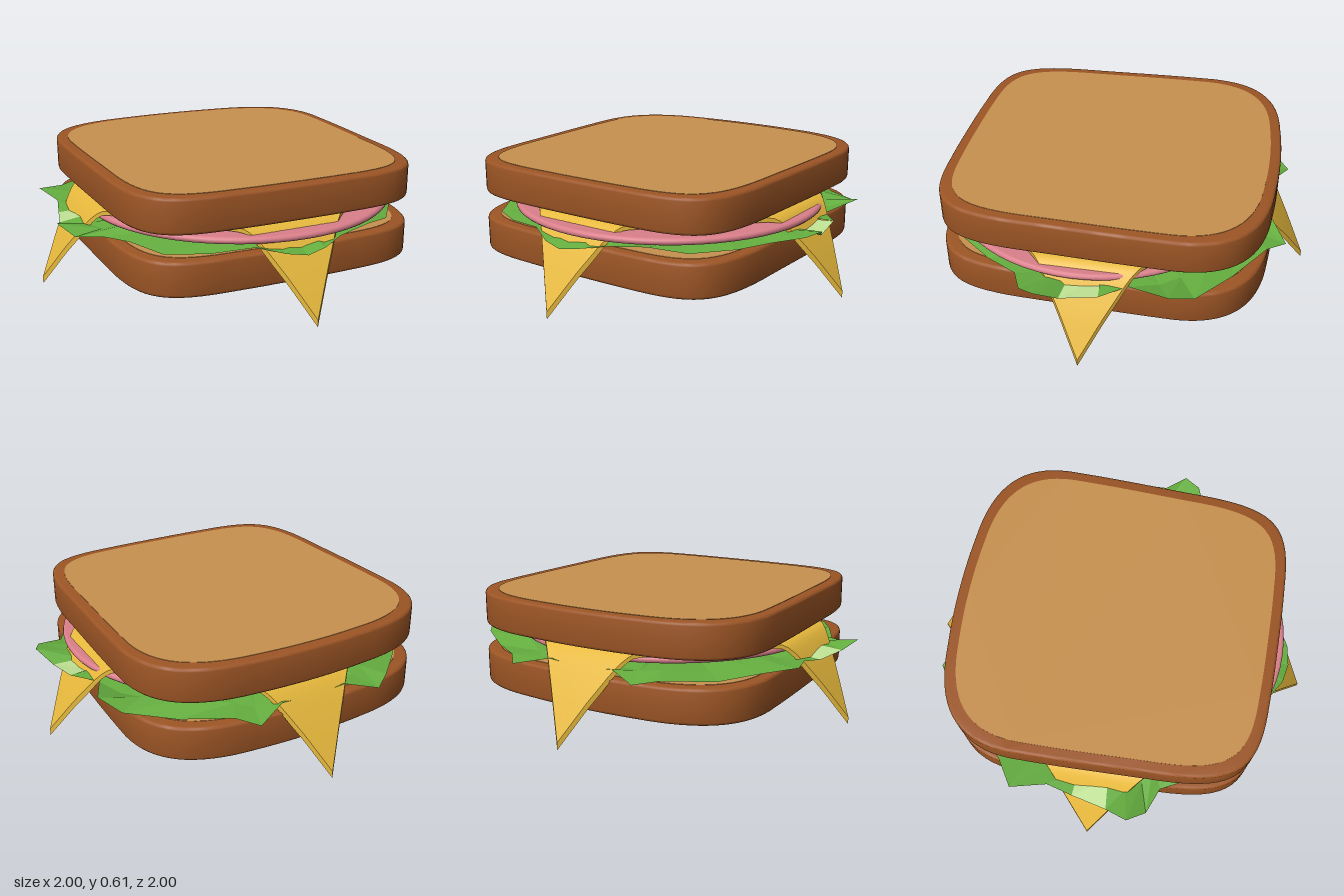
import * as THREE from 'three';
import { toCreasedNormals } from 'three/addons/utils/BufferGeometryUtils.js';

const mat = (name, color, side = THREE.FrontSide) => {
  const m = new THREE.MeshStandardMaterial({ color, side });
  m.name = name;
  return m;
};

function part(name, geometry, material) {
  const mesh = new THREE.Mesh(geometry, material);
  mesh.name = name;
  return mesh;
}

// Loaf outline: a mirrored half with a slight waist; k shrinks it for the crumb
function loafShape(kx = 1, ky = 1) {
  const half = [
    [0, -0.8], [0.1, -0.8], [0.2, -0.8], [0.3, -0.795],
    [0.64, -0.79], [0.74, -0.72], [0.755, -0.33],
    [0.76, -0.1], [0.775, 0.1], [0.775, 0.42],
    [0.765, 0.67], [0.62, 0.8], [0.3, 0.82],
    [0.2, 0.83], [0.1, 0.835], [0, 0.835],
  ];
  const mirrored = half.slice(0, -1).reverse().map(([x, y]) => [-x, y]);
  const p = [...half, ...mirrored].map(([x, y]) => [x * kx, 0.018 + (y - 0.018) * ky]);
  const shape = new THREE.Shape();
  shape.moveTo(...p[0]);
  for (let i = 1; i < p.length; i += 3) shape.bezierCurveTo(...p[i], ...p[i + 1], ...p[i + 2]);
  return shape;
}

// Bread slice: bevelled crust with the crumb showing on both faces
function breadSlice(name, y, crust, crumb) {
  const h = 0.17, b = 0.015;
  const shell = new THREE.ExtrudeGeometry(loafShape(), {
    depth: h - 2 * b, bevelThickness: b, bevelSize: b, bevelOffset: -b, bevelSegments: 3, curveSegments: 16,
  });
  shell.translate(0, 0, b).rotateX(-Math.PI / 2);
  const core = new THREE.ExtrudeGeometry(loafShape(0.93, 0.933), {
    depth: h + 0.004, bevelEnabled: false, curveSegments: 16,
  });
  core.translate(0, 0, -0.002).rotateX(-Math.PI / 2);
  const slice = new THREE.Group();
  slice.name = name;
  slice.position.y = y;
  slice.add(part('crust', toCreasedNormals(shell, 0.6), crust), part('crumb', core, crumb));
  return slice;
}

// Cheese: a square turned 45 degrees, its four corners draped over the edges
function cheeseGeometry() {
  const profile = [[0, 0.425], [0.745, 0.425], [0.78, 0.4], [0.82, 0.345], [0.9, 0.215], [1, 0.035]];
  const g = new THREE.BoxGeometry(Math.SQRT2, 1, Math.SQRT2, 48, 1, 48).rotateY(Math.PI / 4);
  const pos = g.attributes.position;
  for (let i = 0; i < pos.count; i++) {
    const d = Math.min(1, Math.max(Math.abs(pos.getX(i)), Math.abs(pos.getZ(i))));
    let k = 1;
    while (k < profile.length - 1 && d > profile[k][0]) k++;
    const top = THREE.MathUtils.mapLinear(d, ...[profile[k - 1][0], profile[k][0]], profile[k - 1][1], profile[k][1]);
    const thick = 0.02 + 0.015 * THREE.MathUtils.smoothstep(d, 0.75, 0.85);
    pos.setY(i, pos.getY(i) > 0 ? top : top - thick);
  }
  return toCreasedNormals(g, 0.6);
}

// Lettuce: faceted ruffled leaf, rings from centre to rim, with a pale rib across
function lettuceLeaf(green, pale) {
  // rim points x, z, y
  const rim = [
    [0.9, -0.08, 0.35], [0.92, 0.1, 0.33], [0.97, 0.2, 0.385], [0.93, 0.28, 0.37], [0.79, 0.34, 0.335],
    [0.7, 0.5, 0.33], [0.56, 0.68, 0.335], [0.4, 0.77, 0.36], [0.22, 0.81, 0.34], [0.1, 0.88, 0.325],
    [0, 0.9, 0.31], [-0.1, 0.88, 0.325], [-0.22, 0.81, 0.35], [-0.42, 0.76, 0.335], [-0.6, 0.66, 0.325],
    [-0.7, 0.48, 0.34], [-0.77, 0.34, 0.325], [-0.9, 0.29, 0.33], [-0.96, 0.2, 0.375], [-0.92, 0.09, 0.34],
    [-0.88, -0.09, 0.33], [-0.85, -0.22, 0.35], [-0.9, -0.4, 0.37], [-0.76, -0.49, 0.345], [-0.62, -0.64, 0.325],
    [-0.43, -0.82, 0.345], [-0.33, -0.89, 0.33], [-0.18, -0.82, 0.36], [0, -0.8, 0.335], [0.17, -0.82, 0.36],
    [0.33, -0.9, 0.33], [0.41, -0.81, 0.345], [0.62, -0.66, 0.325], [0.82, -0.51, 0.34], [0.89, -0.4, 0.385],
    [0.8, -0.2, 0.345],
  ];
  const rings = [0, 0.45, 0.84, 1];
  const at = (i, r) => {
    const [x, z, y] = rim[i % rim.length];
    const inner = r === 0 ? 0.345 : 0.345 + 0.012 * Math.sin(i * 1.9 + r * 4);
    return [x * r, r === 1 ? y : inner, z * r];
  };
  const tris = { green: [], pale: [] };
  rim.forEach((p, i) => {
    const next = rim[(i + 1) % rim.length];
    const out = Math.abs(p[1]) <= 0.1 && Math.abs(next[1]) <= 0.1 ? tris.pale : tris.green;
    for (let k = 1; k < rings.length; k++) {
      const a = at(i, rings[k - 1]), b = at(i + 1, rings[k - 1]);
      const c = at(i, rings[k]), d = at(i + 1, rings[k]);
      out.push(...a, ...d, ...c);
      if (k > 1) out.push(...a, ...b, ...d);
    }
  });
  const build = (list) => {
    const g = new THREE.BufferGeometry();
    g.setAttribute('position', new THREE.Float32BufferAttribute(list, 3));
    g.computeVertexNormals();
    return g;
  };
  const leaf = new THREE.Group();
  leaf.name = 'lettuce';
  leaf.add(part('leaf', build(tris.green), green), part('rib', build(tris.pale), pale));
  return leaf;
}

// Ham: round slice with a softened edge
function hamGeometry() {
  const R = 0.795, t = 0.017;
  const pts = [new THREE.Vector2(0, -t)];
  for (let i = 0; i <= 6; i++) {
    const a = -Math.PI / 2 + (i / 6) * Math.PI;
    pts.push(new THREE.Vector2(R - t + t * Math.cos(a), t * Math.sin(a)));
  }
  pts.push(new THREE.Vector2(0, t));
  return new THREE.LatheGeometry(pts, 64);
}

export function createModel() {
  const crust = mat('crust brown', 0x9c5525);
  const crumb = mat('toasted crumb', 0xc8914f);
  const cheese = mat('cheese yellow', 0xe6b83c);
  const pink = mat('ham pink', 0xdb808c);
  const green = mat('lettuce green', 0x66b040, THREE.DoubleSide);
  const pale = mat('pale lettuce', 0xc0e394, THREE.DoubleSide);

  const model = new THREE.Group();
  model.name = 'sandwich';
  const ham = part('ham', hamGeometry(), pink);
  ham.position.set(0.03, 0.381, 0.06);
  model.add(
    breadSlice('bottomBread', 0.145, crust, crumb),
    lettuceLeaf(green, pale),
    ham,
    part('cheese', cheeseGeometry(), cheese),
    breadSlice('topBread', 0.44, crust, crumb),
  );
  return model;
}
